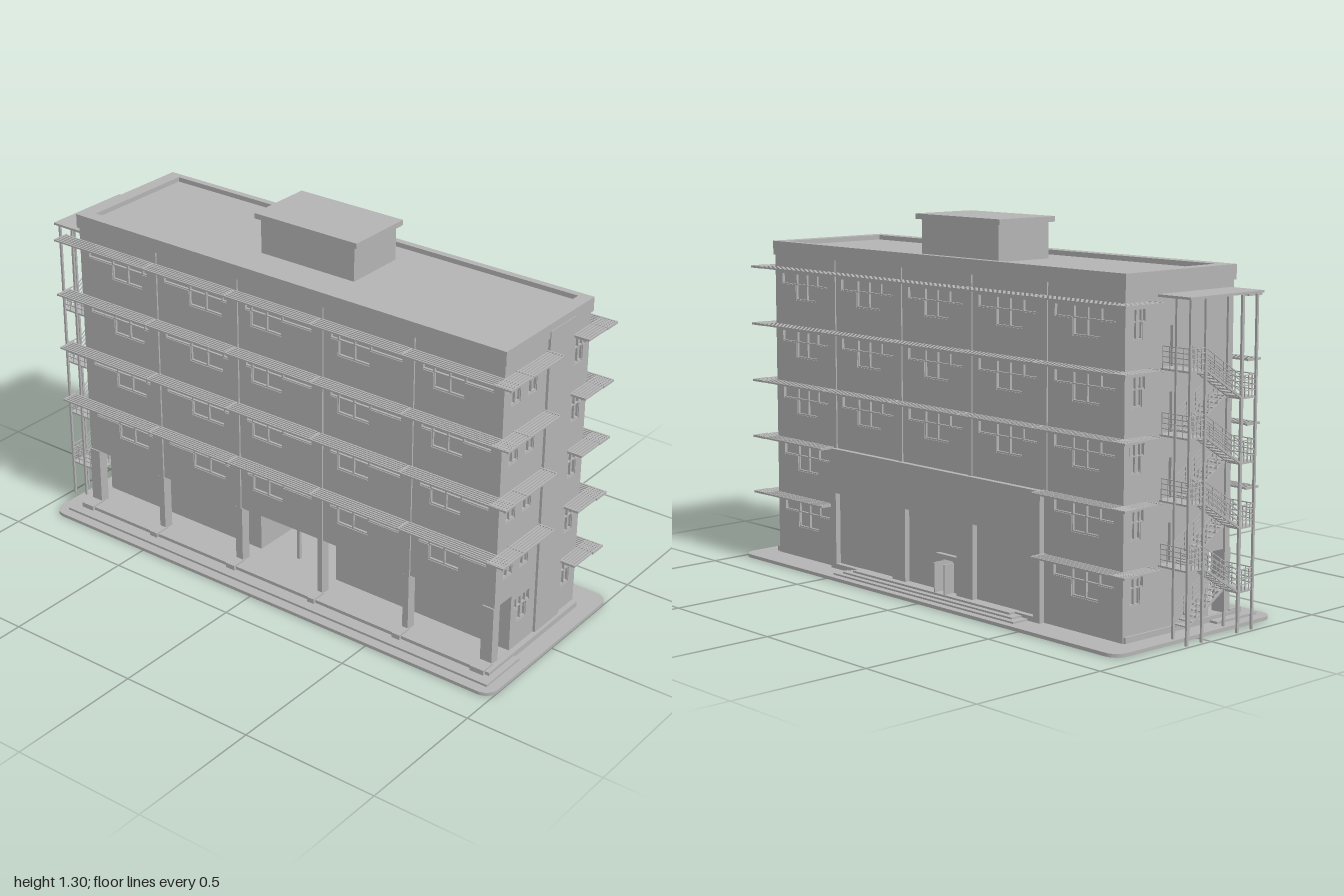
import * as THREE from 'three';

const concrete = new THREE.MeshStandardMaterial({ color: 0xb3b3b3 });
concrete.name = 'concrete grey';

const LEVELS = [0.45, 0.66, 0.87, 1.08];
const BAYS = [-0.86, -0.51, -0.15, 0.21, 0.575, 0.92];

function add(parent, name, geometry) {
  const mesh = new THREE.Mesh(geometry, concrete);
  mesh.name = name;
  parent.add(mesh);
  return mesh;
}

// Box given by its limits on each axis
function box(parent, name, x0, x1, y0, y1, z0, z1) {
  const mesh = add(parent, name, new THREE.BoxGeometry(x1 - x0, y1 - y0, z1 - z0));
  mesh.position.set((x0 + x1) / 2, (y0 + y1) / 2, (z0 + z1) / 2);
  return mesh;
}

// Thin bar between two points
function bar(parent, name, a, b, w = 0.004) {
  const from = new THREE.Vector3(...a), to = new THREE.Vector3(...b);
  const mesh = add(parent, name, new THREE.BoxGeometry(w, w, from.distanceTo(to)));
  mesh.position.copy(from).add(to).multiplyScalar(0.5);
  mesh.lookAt(to);
  return mesh;
}

const rect = (x0, x1, y0, y1) => [[x0, y0], [x1, y0], [x1, y1], [x0, y1]];
const points = (list) => list.map(([x, y]) => new THREE.Vector2(x, y));

// Flat plate with openings, its outer face at z
function plate(parent, name, outline, holes, z, depth) {
  const shape = new THREE.Shape(points(outline));
  holes.forEach((h) => shape.holes.push(new THREE.Path(points(h))));
  const mesh = add(parent, name, new THREE.ExtrudeGeometry(shape, { depth, bevelEnabled: false }));
  mesh.position.z = z - depth;
  return mesh;
}

// High strip window with a taller part; returns its opening and adds the mullions
function windowHole(side, u0, u1, shadeY, z, t0, t1) {
  const w = u1 - u0, a = u0 + w * t0, b = u0 + w * t1;
  const top = shadeY - 0.02, mid = shadeY - 0.06, low = shadeY - 0.115;
  [a, (a + b) / 2, b].forEach((u) => box(side, 'windowMullion', u - 0.003, u + 0.003, low, top, z - 0.012, z - 0.003));
  box(side, 'windowRail', a, b, low, low + 0.005, z - 0.012, z - 0.003);
  box(side, 'windowTransom', u0, u1, mid, mid + 0.004, z - 0.012, z - 0.003);
  return [[u0, mid], [a, mid], [a, low], [b, low], [b, mid], [u1, mid], [u1, top], [u0, top]];
}

// Slatted sunshade standing out from a wall
function sunshade(side, u0, u1, y, z, ends = [u0, u1]) {
  for (let i = 0; i < 6; i++) {
    const s = z + 0.004 + i * 0.0108;
    box(side, 'sunshadeSlat', u0, u1, y - 0.003, y + 0.003, s, s + 0.006);
  }
  ends.forEach((u) => box(side, 'sunshadeBracket', u - 0.003, u + 0.003, y - 0.004, y + 0.004, z, z + 0.064));
}

function makeSide(parent, name, angle) {
  const side = new THREE.Group();
  side.name = name;
  side.rotation.y = angle;
  parent.add(side);
  return side;
}

function buildFront(g) {
  const side = makeSide(g, 'frontFacade', 0), z = 0.24, holes = [];
  const tall = [[0.4, 0.92], [0.4, 0.92], [0.08, 0.55], [0.1, 0.55], [0.15, 0.6]];
  for (const y of LEVELS) {
    for (let i = 0; i < 5; i++) holes.push(windowHole(side, BAYS[i] + 0.04, BAYS[i + 1] - 0.04, y, z, ...tall[i]));
    sunshade(side, -0.925, 0.985, y, z, [-0.922, ...BAYS.slice(1, 5), 0.982]);
  }
  plate(side, 'frontWall', rect(-0.86, 0.92, 0.245, 1.14), holes, z, 0.012);
  BAYS.slice(1, 5).forEach((x) => box(side, 'pilaster', x - 0.01, x + 0.01, 0.245, 1.14, z - 0.002, z + 0.006));
  // Arcade columns and their feet
  const columns = [[-0.86, -0.815], [-0.525, -0.5], [-0.165, -0.135], [0.2, 0.22], [0.56, 0.583], [0.875, 0.92]];
  for (const [a, b] of columns) {
    box(side, 'arcadeColumn', a, b, 0.03, 0.246, 0.208, 0.245);
    box(side, 'columnFoot', a - 0.004, b + 0.004, 0.02, 0.038, 0.24, 0.298);
  }
  box(side, 'lobbyPost', 0.005, 0.017, 0.03, 0.246, 0.1, 0.112);
}

function buildBack(g) {
  const side = makeSide(g, 'backFacade', Math.PI), z = 0.26, holes = [];
  const bays = BAYS.map((x) => -x).reverse();
  for (const y of [0.24, ...LEVELS]) {
    for (let i = 0; i < 5; i++) {
      if (y < 0.5 && i > 0 && i < 4) continue;
      holes.push(windowHole(side, bays[i] + 0.04, bays[i + 1] - 0.04, y, z, 0.3, 0.75));
    }
    if (y < 0.5) {
      sunshade(side, -0.985, -0.585, y, z);
      sunshade(side, 0.51, 0.925, y, z);
    } else sunshade(side, -0.985, 0.925, y, z, [-0.982, ...bays.slice(1, 5), 0.922]);
  }
  // Doorway through to the lobby
  holes.push(rect(0.01, 0.06, 0.033, 0.14));
  plate(side, 'backWall', rect(-0.92, 0.86, 0.012, 1.14), holes, z, 0.012);
  bays.slice(1, 5).forEach((u) => box(side, 'pilaster', u - 0.01, u + 0.01, 0.45, 1.14, z - 0.002, z + 0.005));
  // Entrance frame with three tall openings
  plate(side, 'entranceFrame', rect(-0.585, 0.505, 0.012, 0.45),
    [rect(-0.555, -0.24, 0.03, 0.29), rect(-0.17, 0.1, 0.03, 0.29), rect(0.18, 0.475, 0.03, 0.29)], 0.28, 0.021);
  box(side, 'doorLintel', -0.01, 0.1, 0.155, 0.162, z, 0.278);
  box(side, 'doorLeaf', 0.058, 0.063, 0.03, 0.135, z, 0.302);
  box(side, 'doorLeaf', 0.007, 0.012, 0.03, 0.135, z, 0.302);
  // Entrance steps
  [[0.345, 0.018, 0.47], [0.325, 0.024, 0.44], [0.305, 0.031, 0.41]].forEach(([d, h, w]) =>
    box(side, 'entranceStep', -w - 0.02, w - 0.02, 0.011, h, 0.25, d));
}

function buildRight(g) {
  const side = makeSide(g, 'rightEnd', Math.PI / 2), z = 0.92;
  const holes = [rect(-0.208, -0.14, 0.033, 0.245)];
  for (const y of [0.24, ...LEVELS]) {
    holes.push(windowHole(side, 0.165, 0.235, y, z, 0.1, 0.8));
    sunshade(side, 0.15, 0.32, y, z);
    if (y < 0.3) {
      holes.push(windowHole(side, -0.12, -0.03, y, z, 0.2, 0.8));
      continue;
    }
    holes.push(windowHole(side, -0.225, -0.135, y, z, 0.3, 0.9));
    holes.push(windowHole(side, -0.11, -0.025, y, z, 0.1, 0.7));
    sunshade(side, -0.3, 0.005, y, z, [-0.297, -0.175, 0.002]);
  }
  plate(side, 'rightWall', rect(-0.24, 0.26, 0.012, 1.14), holes, z, 0.012);
  box(side, 'solidStrip', 0.005, 0.15, 0.012, 1.15, z - 0.002, z + 0.009);
}

function buildLeft(g) {
  const side = makeSide(g, 'leftEnd', -Math.PI / 2), z = 0.86;
  const holes = [rect(0.14, 0.208, 0.033, 0.245)];
  for (const y of [0.24, ...LEVELS]) {
    holes.push(windowHole(side, -0.235, -0.17, y, z, 0.1, 0.8));
    sunshade(side, -0.32, -0.155, y, z);
    // Stair door to each floor
    if (y < 1) holes.push(rect(-0.09, -0.045, y, y + 0.13));
  }
  plate(side, 'leftWall', rect(-0.26, 0.24, 0.012, 1.14), holes, z, 0.012);
}

// Two-lane outside stair on the left end
function buildStair(g) {
  const stair = new THREE.Group();
  stair.name = 'outsideStair';
  g.add(stair);
  const xo = -0.985, xm = -0.927, xi = -0.87, zb = -0.1, z0 = -0.03, z1 = 0.14, zf = 0.21;
  box(stair, 'stairCanopy', -1, -0.862, 1.094, 1.102, -0.118, 0.225);
  for (const x of [xo, xm]) for (const z of [zb, z0, z1, zf]) box(stair, 'stairPost', x - 0.004, x + 0.004, 0, 1.096, z - 0.004, z + 0.004);

  const rail = (a, b) => {
    for (const h of [0.02, 0.037, 0.054, 0.07]) bar(stair, 'handrail', [a[0], a[1] + h, a[2]], [b[0], b[1] + h, b[2]], 0.003);
    for (let i = 0; i <= 4; i++) {
      const p = a.map((v, k) => v + (b[k] - v) * i / 4);
      bar(stair, 'baluster', p, [p[0], p[1] + 0.07, p[2]], 0.003);
    }
  };
  const landing = (y, za, zc, outer) => {
    box(stair, 'landing', xo, xi + 0.01, y - 0.006, y, za, zc);
    rail([xo, y, za], [xo, y, zc]);
    rail([xo, y, outer], [xi, y, outer]);
  };
  const flight = (xa, xb, ya, yb, za, zc) => {
    for (let i = 0; i < 8; i++) {
      const t = (i + 0.5) / 8, y = ya + (yb - ya) * t, z = za + (zc - za) * t;
      box(stair, 'tread', xa, xb, y - 0.002, y + 0.002, z - 0.011, z + 0.011);
    }
    for (const x of [xa, xb]) {
      bar(stair, 'stringer', [x, ya, za], [x, yb, zc], 0.007);
      rail([x, ya, za], [x, yb, zc]);
    }
  };
  const floors = [0.03, 0.24, 0.45, 0.66, 0.87];
  floors.forEach((y, i) => {
    if (i > 0) landing(y, zb, z0, zb);
    if (i === 4) return;
    const mid = (y + floors[i + 1]) / 2;
    landing(mid, z1, zf, zf);
    flight(xm + 0.004, xi, y, mid, z0, z1);
    flight(xo, xm - 0.004, mid, floors[i + 1], z1, z0);
  });
}

export function createModel() {
  const g = new THREE.Group();
  g.name = 'officeBuilding';

  // Rounded ground slab
  const x0 = -0.943, x1 = 1, h = 0.372, r = 0.05, s = new THREE.Shape();
  s.absarc(x1 - r, h - r, r, 0, Math.PI / 2);
  s.absarc(x0 + r, h - r, r, Math.PI / 2, Math.PI);
  s.absarc(x0 + r, -h + r, r, Math.PI, Math.PI * 1.5);
  s.absarc(x1 - r, -h + r, r, Math.PI * 1.5, Math.PI * 2);
  const slab = add(g, 'groundSlab', new THREE.ExtrudeGeometry(s, { depth: 0.012, bevelEnabled: false, curveSegments: 6 }));
  slab.rotation.x = -Math.PI / 2;

  // Plinth and front step
  box(g, 'plinth', -0.868, 0.94, 0.011, 0.032, -0.255, 0.288);
  box(g, 'frontStep', -0.9, 0.963, 0.011, 0.02, 0.14, 0.335);

  // Solid cores: lower floor split by the lobby, upper floors above the arcade
  box(g, 'lowerCore', -0.849, -0.135, 0.012, 0.245, -0.249, 0.14);
  box(g, 'lowerCore', 0.2, 0.909, 0.012, 0.245, -0.249, 0.14);
  box(g, 'upperCore', -0.849, 0.909, 0.245, 1.158, -0.249, 0.229);

  buildFront(g);
  buildBack(g);
  buildRight(g);
  buildLeft(g);
  buildStair(g);

  // Parapet ring and roof house
  const parapet = plate(g, 'parapet', rect(-0.866, 0.926, -0.246, 0.265), [rect(-0.815, 0.88, -0.2, 0.24)], 0, 0.05);
  parapet.rotation.x = -Math.PI / 2;
  parapet.position.set(0, 1.125, 0);
  box(g, 'roofHouse', -0.165, 0.225, 1.15, 1.287, -0.148, 0.083);
  box(g, 'roofHouseCap', -0.183, 0.244, 1.283, 1.302, -0.16, 0.096);
  return g;
}
